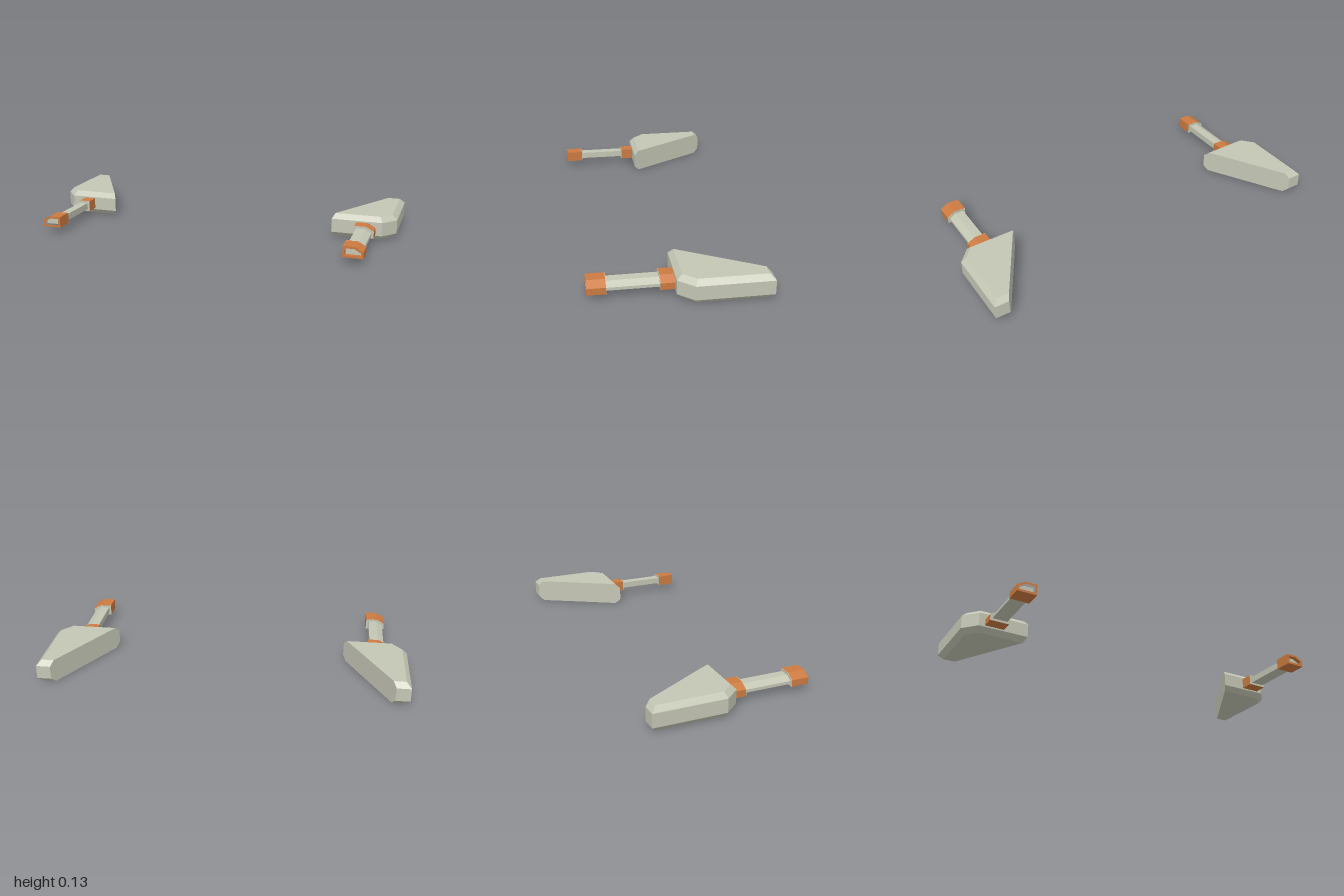
import * as THREE from 'three';
import { ConvexGeometry } from 'three/addons/geometries/ConvexGeometry.js';

const grey = new THREE.MeshStandardMaterial({ color: 0xc4c6b4, flatShading: true });
const orange = new THREE.MeshStandardMaterial({ color: 0xcc7a40, flatShading: true });

// Cross-sections (x, y): a box with its outer top corner cut off
const collarProfile = [[0.79, 0.036], [0.896, 0.036], [0.896, 0.072], [0.853, 0.096], [0.79, 0.096]];
const barrelProfile = [[0.802, 0.048], [0.884, 0.048], [0.884, 0.064], [0.85, 0.084], [0.802, 0.084]];

// Plan of the housing (x, z): the widest outline and the bevelled one.
// The slanted inner side stays flat, so its bevelled ends slide along it.
const slantX = (z) => 0.654 + (0.268 * (0.02 - z)) / 0.468;
const wide = [[slantX(0.02), 0.02], [0.93, 0.02], [1, -0.06], [1, -0.448], [slantX(-0.448), -0.448]];
const narrow = [[slantX(-0.007), -0.007], [0.917, -0.007], [0.973, -0.07], [0.973, -0.421], [slantX(-0.421), -0.421]];
const levels = [[0, narrow], [0.028, wide], [0.103, wide], [0.13, narrow]];

function prism(profile, side, z0, z1, hole) {
  const points = (list) => list.map(([x, y]) => new THREE.Vector2(x * side, y));
  const shape = new THREE.Shape(points(profile));
  if (hole) shape.holes.push(new THREE.Path(points(hole)));
  const geometry = new THREE.ExtrudeGeometry(shape, { depth: z1 - z0, bevelEnabled: false });
  return geometry.translate(0, 0, z0);
}

function createCannon(side) {
  const cannon = new THREE.Group();
  cannon.name = side > 0 ? 'leftCannon' : 'rightCannon';
  const add = (name, geometry, material) => {
    const mesh = new THREE.Mesh(geometry, material);
    mesh.name = name;
    cannon.add(mesh);
  };

  // Bevelled wedge housing
  const corners = levels.flatMap(([y, plan]) => plan.map(([x, z]) => new THREE.Vector3(x * side, y, z)));
  add('housing', new ConvexGeometry(corners), grey);

  // Barrel, ending a little inside the muzzle
  add('barrel', prism(barrelProfile, side, 0.01, 0.425), grey);

  // Orange collars with grey end plates facing each other
  add('rearCollar', prism(collarProfile, side, 0.015, 0.092, barrelProfile), orange);
  add('rearCollarPlate', prism(collarProfile, side, 0.092, 0.094, barrelProfile), grey);
  add('muzzlePlate', prism(collarProfile, side, 0.351, 0.353, barrelProfile), grey);
  add('muzzle', prism(collarProfile, side, 0.353, 0.448, barrelProfile), orange);
  return cannon;
}

export function createModel() {
  const model = new THREE.Group();
  model.name = 'twinCannons';
  for (const side of [1, -1]) model.add(createCannon(side));
  return model;
}
